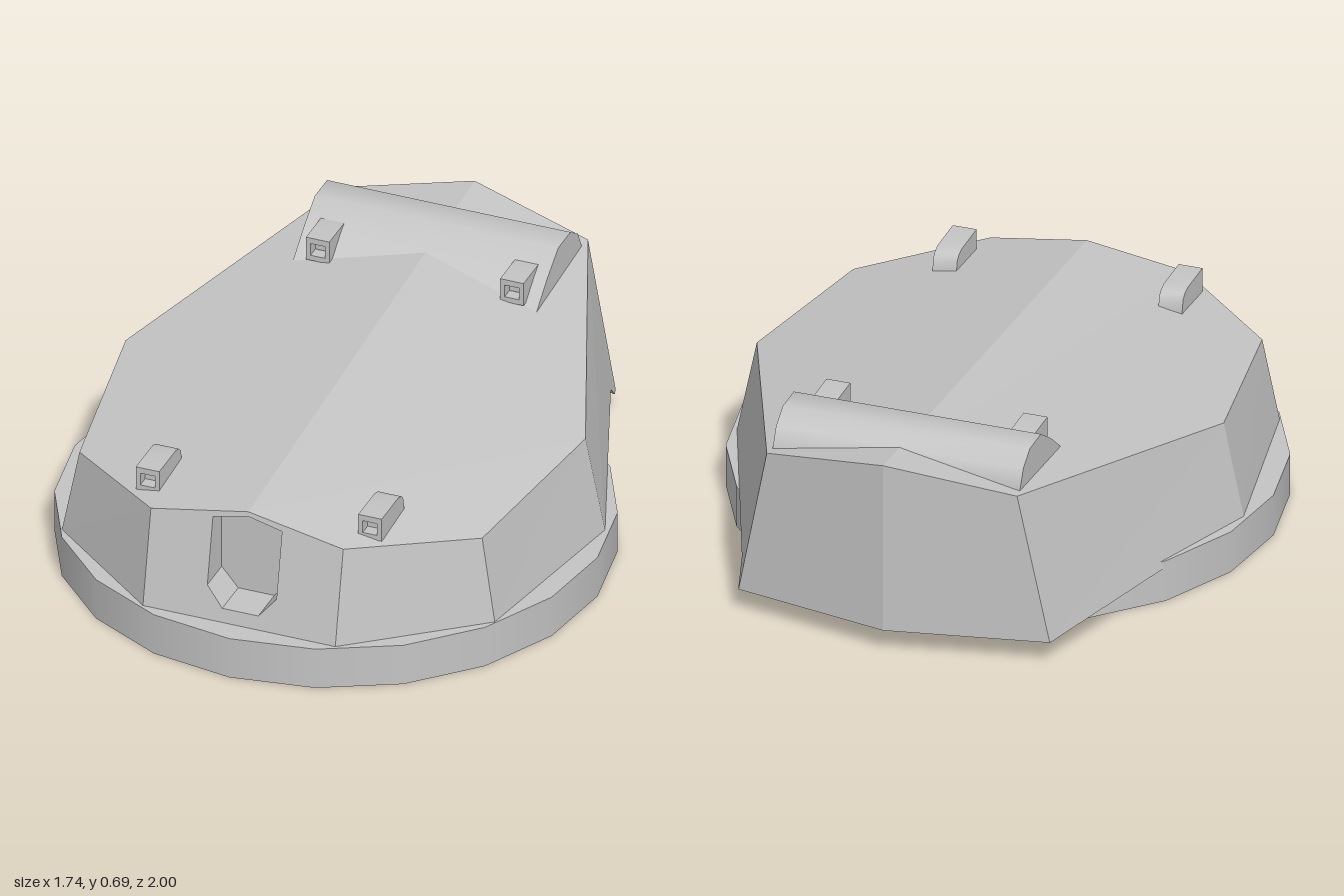
import * as THREE from 'three';
import { toCreasedNormals } from 'three/addons/utils/BufferGeometryUtils.js';

const grey = new THREE.MeshStandardMaterial({ color: 0xc4c4c4 });
grey.name = 'plain grey';

function add(parent, name, geometry) {
  const mesh = new THREE.Mesh(geometry, grey);
  mesh.name = name;
  parent.add(mesh);
  return mesh;
}

// Flat-shaded geometry from convex polygons, each fanned from its first corner
function fromPolygons(polygons) {
  const pos = [];
  for (const p of polygons)
    for (let i = 1; i < p.length - 1; i++) pos.push(...p[0], ...p[i], ...p[i + 1]);
  const g = new THREE.BufferGeometry();
  g.setAttribute('position', new THREE.Float32BufferAttribute(pos, 3));
  g.computeVertexNormals();
  return g;
}

const shapeOf = (pts) => new THREE.Shape(pts.map(([x, y]) => new THREE.Vector2(x, y)));

// Extrude a side profile of [z, y] points across x, centred
function sideExtrude(profile, width) {
  const g = new THREE.ExtrudeGeometry(shapeOf(profile.map(([z, y]) => [-z, y])), { depth: width, bevelEnabled: false });
  g.translate(0, 0, -width / 2);
  g.rotateY(Math.PI / 2);
  return toCreasedNormals(g, 0.75);
}

// Armoured shell: one half described, the other mirrored
function shell() {
  const T0 = [0, 0.51, 0.844], T1 = [0.32, 0.455, 0.855], T2 = [0.67, 0.42, 0.58];
  const T3 = [0.765, 0.455, -0.03], T4 = [0.41, 0.585, -0.92], T5 = [0, 0.657, -1];
  const B0 = [0, 0.14, 0.92], B1 = [0.32, 0.14, 0.92], B2 = [0.72, 0.14, 0.6];
  const B3 = [0.83, 0.14, -0.03], B4 = [0.535, 0.14, -0.8], B5 = [0, 0.14, -0.9];
  const C4 = [0.52, 0.08, -0.87], C5 = [0, 0.08, -0.97];
  const D4 = [0.51, 0.08, -0.9], D5 = [0, 0.08, -1];
  const half = [
    [T0, T1, T2, T3, T4, T5],      // roof
    [B1, B2, T2, T1],              // front cheek
    [B2, B3, T3, T2],              // side
    [T4, T3, B3, B4, C4, D4],      // rear side
    [D4, D5, T5, T4],              // back
    [B5, B4, B3, B2, B1, B0],      // underside
    [B5, C5, C4, B4],              // rear lip
    [C5, D5, D4, C4],
  ];
  const mirrored = half.map((p) => p.map(([x, y, z]) => [-x, y, z]).reverse());
  return fromPolygons([...half, ...mirrored]);
}

// Sloping front plate with a recessed gun opening
const frontZ = (y) => 0.92 - 0.206 * (y - 0.14);
const opening = [[-0.06, 0.185], [0.06, 0.185], [0.115, 0.25], [0.115, 0.47], [0, 0.495], [-0.115, 0.47], [-0.115, 0.25]];
const recessZ = 0.78;

function frontPlate() {
  const s = shapeOf([[-0.32, 0.14], [0.32, 0.14], [0.32, 0.455], [0, 0.51], [-0.32, 0.455]]);
  s.holes.push(shapeOf(opening));
  const g = new THREE.ShapeGeometry(s);
  const p = g.attributes.position;
  for (let i = 0; i < p.count; i++) p.setZ(i, frontZ(p.getY(i)));
  g.computeVertexNormals();
  return g;
}

function recess() {
  const walls = opening.map((a, i) => {
    const b = opening[(i + 1) % opening.length];
    return [[...a, frontZ(a[1])], [...b, frontZ(b[1])], [...b, recessZ], [...a, recessZ]];
  });
  return fromPolygons([...walls, opening.map((a) => [...a, recessZ])]);
}

// Square viewing block with a hollow front and a rounded tail
function periscope(name, x, y, z, length) {
  const w = 0.039, h = 0.08, d = 0.04;
  const group = new THREE.Group();
  group.name = name;
  const frame = shapeOf([[-w, 0], [w, 0], [w, h], [-w, h]]);
  frame.holes.push(shapeOf([[-0.024, 0.018], [0.024, 0.018], [0.024, 0.06], [-0.024, 0.06]]));
  const rim = new THREE.ExtrudeGeometry(frame, { depth: d, bevelEnabled: false });
  rim.translate(0, 0, -d);
  add(group, 'periscopeRim', rim);
  const tail = [[-d, 0], [-d, h], [0.05 - length, h], [0.025 - length, h - 0.008], [0.01 - length, h - 0.022], [-length, 0.015], [-length, 0]];
  add(group, 'periscopeBody', sideExtrude(tail, 2 * w));
  group.position.set(x, y, z);
  return group;
}

export function createModel() {
  const model = new THREE.Group();
  model.name = 'turret';

  // Turning ring
  const ring = add(model, 'baseRing', new THREE.CylinderGeometry(0.87, 0.87, 0.14, 20));
  ring.position.set(0, 0.07, 0.13);

  add(model, 'shell', shell());
  add(model, 'frontPlate', frontPlate());
  add(model, 'gunRecess', recess());

  // Raised rear housing
  const housing = [[-0.45, 0.51], [-0.515, 0.555], [-0.6, 0.625], [-0.69, 0.685], [-0.79, 0.685], [-0.85, 0.645], [-0.88, 0.585], [-0.88, 0.51]];
  add(model, 'rearHousing', sideExtrude(housing, 0.81));

  // Two pairs of viewing blocks
  for (const side of [-1, 1]) {
    model.add(periscope('frontPeriscope', side * 0.37, 0.45, 0.76, 0.185));
    model.add(periscope('rearPeriscope', side * 0.323, 0.567, -0.512, 0.2));
  }
  return model;
}
